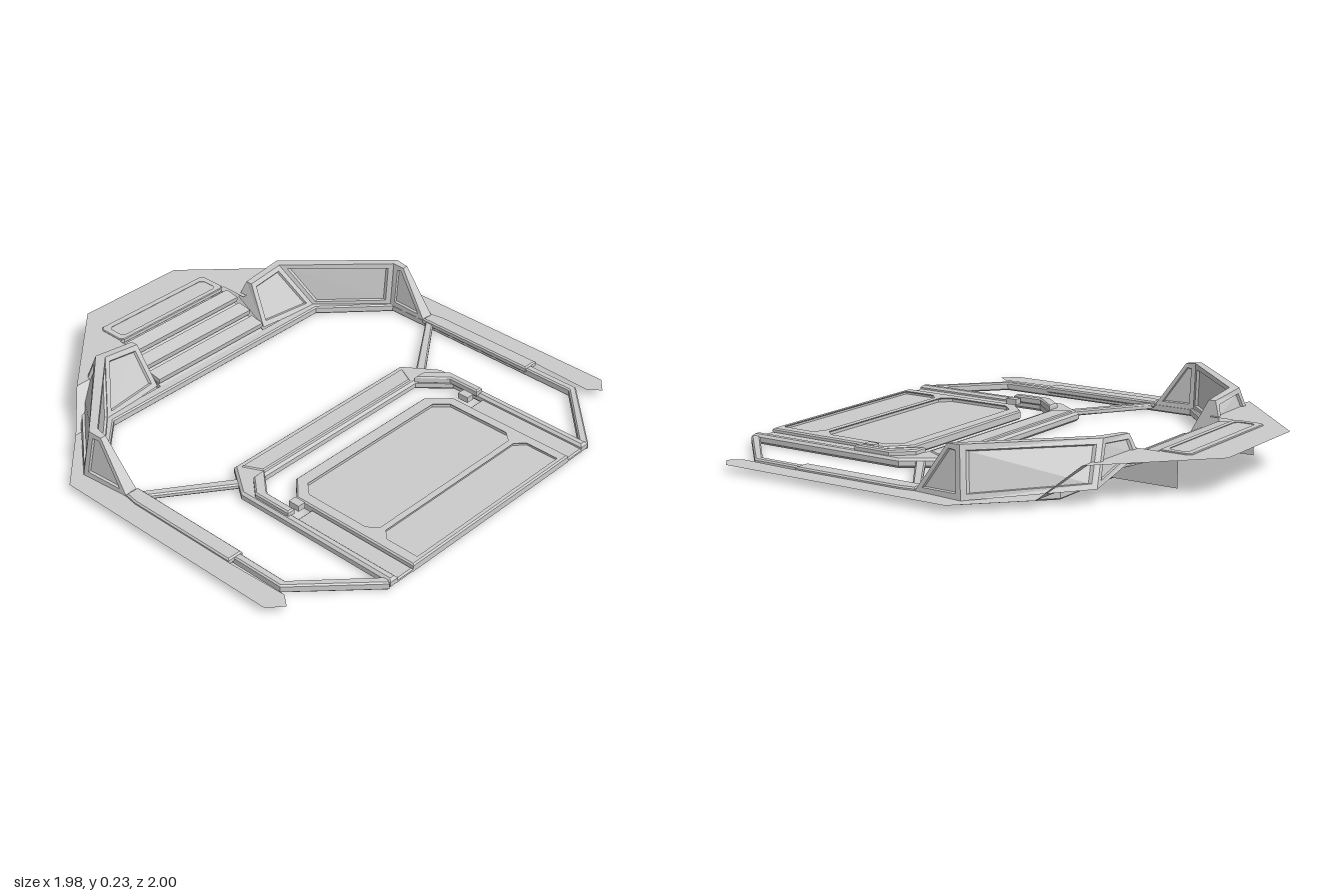
import * as THREE from 'three';

const material = new THREE.MeshStandardMaterial({ color: 0xcccccc, flatShading: true, side: THREE.DoubleSide });

// Points are [x, z] in plan; the shape lies flat after rotation
const toPlan = (pts) => pts.map(([x, z]) => new THREE.Vector2(x, -z));
const mirrorPts = (pts) => pts.map(([x, z]) => [-x, z]);
// Closes a half outline (x > 0) with its mirror image
const symmetric = (half) => [...half, ...mirrorPts(half).reverse()];

function planShape(pts, holes = []) {
  const shape = new THREE.Shape(toPlan(pts));
  holes.forEach((h) => shape.holes.push(new THREE.Path(toPlan(h))));
  return shape;
}

function slab(pts, y0, y1, holes = [], bevel = 0.006) {
  const geo = new THREE.ExtrudeGeometry(planShape(pts, holes), {
    depth: y1 - y0 - 2 * bevel, bevelEnabled: bevel > 0,
    bevelSize: bevel, bevelThickness: bevel, bevelOffset: -bevel, bevelSegments: 1,
  });
  return geo.rotateX(-Math.PI / 2).translate(0, y0 + bevel, 0);
}

const sheet = (pts, y) =>
  new THREE.ShapeGeometry(planShape(pts)).rotateX(-Math.PI / 2).translate(0, y, 0);

// Triangles from a list of quads, each four [x, y, z] corners; side = -1 mirrors
function quads(list, side = 1) {
  const pos = [];
  for (const q of list) {
    const order = side > 0 ? [0, 1, 2, 0, 2, 3] : [0, 2, 1, 0, 3, 2];
    order.forEach((i) => pos.push(q[i][0] * side, q[i][1], q[i][2]));
  }
  const geo = new THREE.BufferGeometry();
  geo.setAttribute('position', new THREE.Float32BufferAttribute(pos, 3));
  geo.computeVertexNormals();
  return geo;
}

// A quad with a border and a sunken centre
function sunkenQuad(corners, border, depth) {
  const v = corners.map((c) => new THREE.Vector3(...c));
  const centre = v.reduce((s, p) => s.add(p), new THREE.Vector3()).divideScalar(4);
  const normal = v[2].clone().sub(v[0]).cross(v[3].clone().sub(v[1])).normalize();
  const unit = (a, b) => b.clone().sub(a).normalize();
  const rim = v.map((p, i) => p.clone()
    .addScaledVector(unit(p, v[(i + 1) % 4]), border)
    .addScaledVector(unit(p, v[(i + 3) % 4]), border));
  const low = rim.map((p) => p.clone().lerp(centre, 0.05).addScaledVector(normal, -depth));
  const out = [];
  for (let i = 0; i < 4; i++) {
    const j = (i + 1) % 4;
    out.push([v[i], v[j], rim[j], rim[i]], [rim[i], rim[j], low[j], low[i]]);
  }
  out.push(low);
  return out.map((q) => q.map((p) => p.toArray()));
}

export function createModel() {
  const model = new THREE.Group();
  const add = (name, geo) => {
    const mesh = new THREE.Mesh(geo, material);
    mesh.name = name;
    model.add(mesh);
    return mesh;
  };

  // Octagonal base rail, open at the front
  const railOuter = [[0.59, 1], [0.87, 0.73], [0.87, -0.25], [0.61, -0.51]];
  const railInner = [[0.56, 0.98], [0.835, 0.72], [0.835, -0.235], [0.59, -0.465]];
  add('baseRail', slab([
    ...railOuter, ...mirrorPts(railOuter).reverse(),
    ...mirrorPts(railInner), ...[...railInner].reverse(),
  ], 0, 0.035));

  // Raised rear deck with a notch for the steps
  add('rearDeck', sheet(symmetric([[0.25, -1], [0.64, -0.62], [0.3, -0.62], [0.3, -0.74]]), 0.15));

  // Wall sections: inner bottom, inner top, outer top, outer bottom
  const stations = [
    [[0.835, 0.03, -0.06], [0.855, 0.225, -0.2], [0.88, 0.225, -0.2], [0.89, 0.03, -0.06]],
    [[0.835, 0.03, -0.25], [0.85, 0.23, -0.25], [0.885, 0.23, -0.26], [0.91, 0.03, -0.28]],
    [[0.6, 0.03, -0.49], [0.5, 0.23, -0.6], [0.52, 0.23, -0.635], [0.6, 0.06, -0.66]],
    [[0.31, 0.04, -0.51], [0.33, 0.21, -0.6], [0.33, 0.21, -0.63], [0.31, 0.13, -0.66]],
  ];
  const wall = [];
  for (let i = 0; i < 3; i++) {
    const a = stations[i], b = stations[i + 1];
    wall.push(
      ...sunkenQuad([a[0], a[1], b[1], b[0]], 0.022, 0.01),
      [a[1], a[2], b[2], b[1]],
      ...sunkenQuad([a[2], a[3], b[3], b[2]], 0.022, 0.01),
    );
  }
  wall.push([...stations[0]].reverse(), stations[3]);

  const armOutline = [[0.6, -0.5], [0.76, -0.5], [0.99, -0.27], [0.99, 0.77], [0.93, 0.82],
    [0.89, 0.77], [0.9, 0.5], [0.84, 0.5], [0.84, -0.25]];
  const trimOutline = [[0.83, -0.06], [0.89, -0.06], [0.9, 0.0], [0.9, 0.5], [0.83, 0.5]];
  const braceOutline = [[0.84, -0.05], [0.84, -0.01], [0.53, 0.21], [0.51, 0.175]];

  for (const side of [1, -1]) {
    const label = side > 0 ? 'left' : 'right';
    const flip = (pts) => (side > 0 ? pts : mirrorPts(pts));
    add(`${label}Arm`, sheet(flip(armOutline), 0.03));
    add(`${label}ArmTrim`, slab(flip(trimOutline), 0.015, 0.042));
    add(`${label}Ramp`, quads([
      [[0.4, 0.15, -0.62], [0.4, 0.03, -0.5], [0.76, 0.03, -0.5], [0.64, 0.15, -0.62]]], side));
    add(`${label}CornerWall`, quads(wall, side));
    add(`${label}Brace`, slab(flip(braceOutline), 0.008, 0.032));
    // Triangular fin under the deck
    add(`${label}Fin`, quads([
      [[0.3, 0.15, -0.82], [0.3, 0.02, -0.82], [0.3, 0.02, -0.5], [0.3, 0.035, -0.5]]], side));
    // Raised shoulder and small catch on the seat surround
    add(`${label}Shoulder`, slab(
      flip([[0.44, 0.23], [0.5, 0.23], [0.57, 0.31], [0.57, 0.48], [0.535, 0.48], [0.535, 0.34]]),
      0.03, 0.062));
    add(`${label}Catch`, new THREE.BoxGeometry(0.035, 0.025, 0.05).translate(side * 0.495, 0.045, 0.455));
    // Long panel beside the seat
    add(`${label}SidePanel`, slab(flip([[0.46, 0.5], [0.55, 0.5], [0.55, 1], [0.46, 1]]), 0.005, 0.025));
  }

  // Steps up to the rear deck
  add('stepBacking', quads([
    [[-0.3, 0.03, -0.5], [0.3, 0.03, -0.5], [0.3, 0.125, -0.74], [-0.3, 0.125, -0.74]]]));
  for (let i = 0; i < 3; i++) {
    const step = add('step', new THREE.BoxGeometry(0.6, 0.022, 0.066));
    step.position.set(0, 0.062 + i * 0.033, -0.54 - i * 0.075);
    step.rotation.x = 0.15;
  }
  // Framed panel behind the steps
  const cut = (x, z0, z1, c) =>
    symmetric([[x - c, z0], [x, z0 + c], [x, z1 - c], [x - c, z1]]);
  add('rearPanelFrame', slab(cut(0.295, -0.87, -0.735, 0.015), 0.135, 0.155,
    [cut(0.27, -0.845, -0.755, 0.015)], 0.003));
  add('rearPanel', sheet(cut(0.275, -0.85, -0.75, 0.01), 0.151));

  // U-shaped seat surround
  const surroundOuter = [[0.585, 1], [0.585, 0.25], [0.485, 0.11]];
  const surroundInner = [[0.545, 1], [0.545, 0.35], [0.44, 0.235]];
  add('seatSurround', slab([
    ...surroundOuter, ...mirrorPts(surroundOuter).reverse(),
    ...mirrorPts(surroundInner), ...[...surroundInner].reverse(),
  ], 0.002, 0.042, [], 0.01));
  add('surroundRidge', slab(symmetric([[0.47, 0.135], [0.43, 0.215]]), 0.03, 0.047));

  // Seat panel: rim with two sunken panes
  const mainPane = symmetric([[0.37, 0.385], [0.42, 0.44], [0.42, 0.73], [0.38, 0.775]]);
  const frontPane = symmetric([[0.38, 0.79], [0.42, 0.83], [0.42, 0.985]]);
  add('seatRim', slab(symmetric([[0.375, 0.335], [0.46, 0.42], [0.46, 1]]), 0.002, 0.04,
    [mainPane, frontPane]));
  add('seatMainPane', sheet(mainPane, 0.022));
  add('seatFrontPane', sheet(frontPane, 0.026));

  return model;
}
